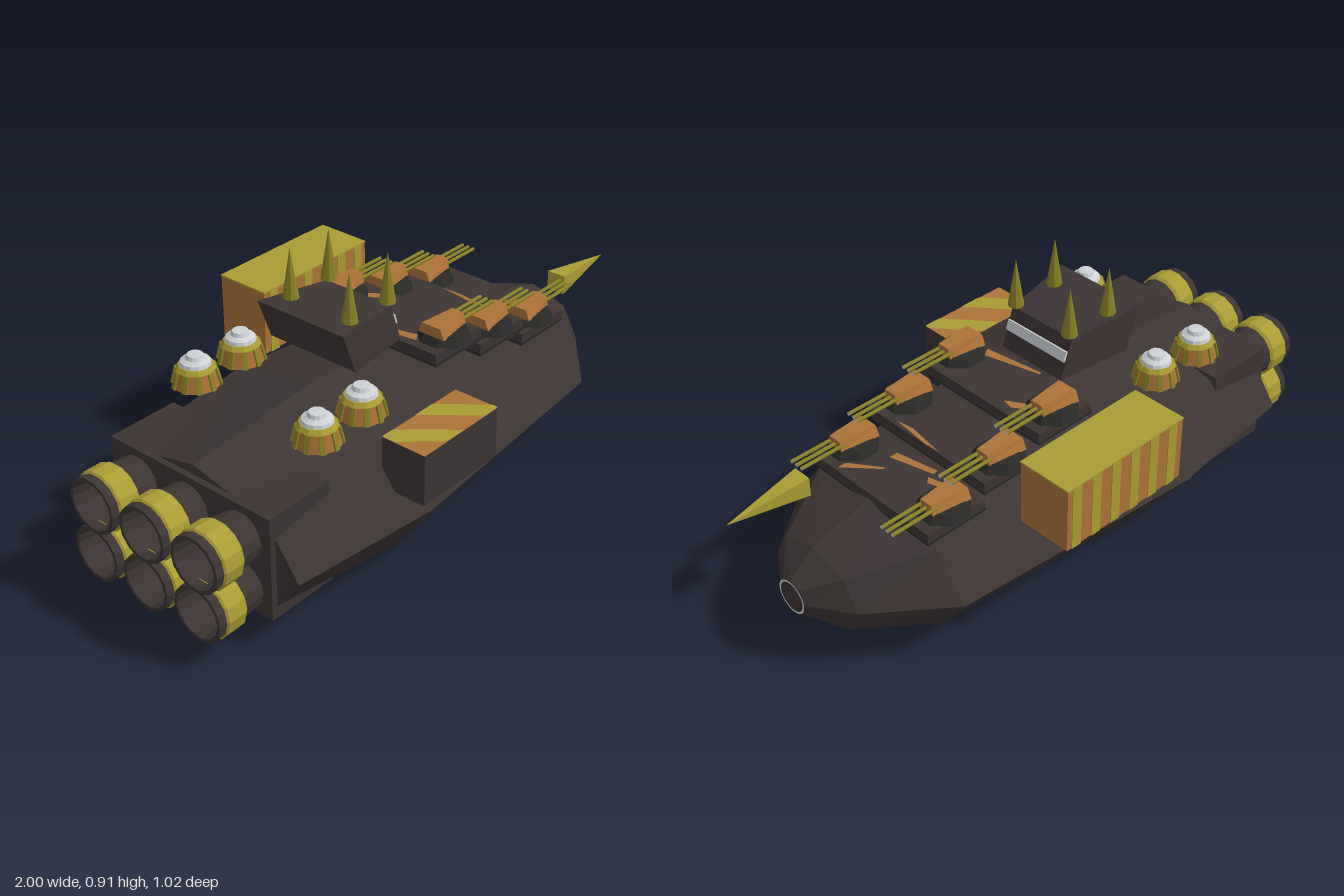
import * as THREE from 'three';

const mat = (name, color) => Object.assign(new THREE.MeshStandardMaterial({ color }), { name });
const CZ = 0.02; // the hull axis sits slightly off centre in z

// Faceted normals
function flat(g) {
  const f = g.index ? g.toNonIndexed() : g;
  f.computeVertexNormals();
  return f;
}

// Octagonal loft along x; each station is [x, centreY, halfY, halfZ]
function loft(stations, sides = 8) {
  const pos = [];
  const pt = ([x, cy, hy, hz], j) => {
    const a = (j / sides) * Math.PI * 2;
    return [x, cy + Math.cos(a) * hy, Math.sin(a) * hz];
  };
  const last = stations.length - 1;
  for (let j = 0; j < sides; j++) {
    for (let i = 0; i < last; i++) {
      const a = pt(stations[i], j), b = pt(stations[i], j + 1);
      const c = pt(stations[i + 1], j), d = pt(stations[i + 1], j + 1);
      pos.push(...a, ...b, ...c, ...b, ...d, ...c);
    }
    const s = stations[0], e = stations[last];
    pos.push(s[0], s[1], 0, ...pt(s, j + 1), ...pt(s, j));
    pos.push(e[0], e[1], 0, ...pt(e, j), ...pt(e, j + 1));
  }
  const g = new THREE.BufferGeometry();
  g.setAttribute('position', new THREE.Float32BufferAttribute(pos, 3));
  g.computeVertexNormals();
  return g;
}

// Unit box whose vertices are moved by a rule
function warpedBox(rule) {
  const g = new THREE.BoxGeometry(1, 1, 1);
  const p = g.attributes.position;
  for (let i = 0; i < p.count; i++) p.setXYZ(i, ...rule(p.getX(i), p.getY(i), p.getZ(i)));
  return flat(g);
}

export function createModel() {
  const hullM = mat('charcoal hull', 0x3d3534);
  const trimM = mat('dark trim', 0x2a2b28);
  const goldM = mat('yellow', 0xaa9c34);
  const oliveM = mat('olive brass', 0x8a8028);
  const orangeM = mat('orange', 0xac7238);
  const whiteM = mat('pale grey', 0xcdd1d4);
  const root = new THREE.Group();
  root.name = 'armedShip';

  const add = (name, g, m, x = 0, y = 0, z = 0, parent = root) => {
    const mesh = new THREE.Mesh(g, m);
    mesh.name = name;
    mesh.position.set(x, y, z);
    parent.add(mesh);
    return mesh;
  };
  // Box given by its limits
  const box = (name, m, x0, x1, y0, y1, z0, z1, parent = root) =>
    add(name, new THREE.BoxGeometry(x1 - x0, y1 - y0, z1 - z0), m,
      (x0 + x1) / 2, (y0 + y1) / 2, (z0 + z1) / 2, parent);
  // Flat painted patch facing up, corners as [x, z]
  const patch = (name, m, y, pts) => {
    const s = new THREE.Shape(pts.map(([x, z]) => new THREE.Vector2(x, -z)));
    add(name, new THREE.ShapeGeometry(s).rotateX(-Math.PI / 2), m, 0, y, 0);
  };

  // Hull
  add('hull', loft([
    [-0.8, 0.26, 0.22, 0.395], [-0.3, 0.26, 0.26, 0.45], [0.58, 0.26, 0.205, 0.375],
    [0.82, 0.26, 0.138, 0.185], [0.91, 0.265, 0.062, 0.055],
  ]), hullM, 0, 0, CZ);
  const ring = add('noseRing', new THREE.RingGeometry(0.05, 0.057, 24), whiteM, 0.912, 0.265, CZ);
  ring.rotation.y = Math.PI / 2;

  // Engine block and six nozzles
  box('engineBlock', hullM, -0.82, -0.575, 0.105, 0.447, CZ - 0.32, CZ + 0.31);
  const V = (r, y) => new THREE.Vector2(r, y);
  const nozzleG = flat(new THREE.LatheGeometry(
    [V(0.076, 0), V(0.084, 0.09), V(0.09, 0.1), V(0.09, 0.19), V(0.078, 0.19), V(0.066, 0.08)], 14));
  const bandG = flat(new THREE.LatheGeometry(
    [V(0.088, 0.085), V(0.096, 0.095), V(0.096, 0.158), V(0.088, 0.165)], 14));
  const coreG = new THREE.CircleGeometry(0.07, 14).rotateX(-Math.PI / 2);
  for (const y of [0.182, 0.348]) {
    for (const k of [-1, 0, 1]) {
      const engine = new THREE.Group();
      engine.name = 'engine';
      engine.position.set(-0.81, y, 0.015 + k * 0.205);
      engine.rotation.z = Math.PI / 2;
      root.add(engine);
      add('nozzle', nozzleG, hullM, 0, 0, 0, engine);
      add('nozzleBand', bandG, goldM, 0, 0, 0, engine);
      add('nozzleCore', coreG, whiteM, 0, 0.085, 0, engine);
    }
  }

  // Bridge tower: leans back, narrows toward the front
  add('bridgeTower', warpedBox((x, y, z) => {
    const front = x > 0, top = y > 0;
    return [front ? (top ? -0.1 : -0.055) : (top ? -0.357 : -0.305),
      top ? (front ? 0.735 : 0.755) : (front ? 0.605 : 0.617),
      CZ + z * 2 * (front ? 0.127 : 0.167)];
  }), hullM);
  const win = add('bridgeWindow', new THREE.BoxGeometry(0.009, 0.034, 0.25), whiteM, -0.077, 0.68, CZ);
  win.rotation.z = 0.33;

  // Antenna spikes
  const spikeG = flat(new THREE.ConeGeometry(0.026, 0.165, 8));
  for (const x of [-0.27, -0.102]) {
    for (const s of [-1, 1]) add('antennaSpike', spikeG, oliveM, x, 0.828, CZ + s * 0.115);
  }

  // Domed emplacements
  const domeBaseG = flat(new THREE.CylinderGeometry(0.06, 0.074, 0.055, 10));
  const domeRimG = flat(new THREE.CylinderGeometry(0.053, 0.063, 0.014, 10));
  const domeG = flat(new THREE.LatheGeometry(
    [V(0.05, 0), V(0.046, 0.014), V(0.03, 0.022), V(0.025, 0.034), V(0, 0.036)], 12));
  const ribG = new THREE.BoxGeometry(0.008, 0.055, 0.016);
  for (const x of [-0.54, -0.353]) {
    for (const z of [-0.23, 0.252]) {
      const e = new THREE.Group();
      e.name = 'domeEmplacement';
      e.position.set(x, 0.527, z);
      root.add(e);
      add('domeBase', domeBaseG, orangeM, 0, 0.0275, 0, e);
      add('domeRim', domeRimG, goldM, 0, 0.06, 0, e);
      add('dome', domeG, whiteM, 0, 0.064, 0, e);
      for (let i = 0; i < 10; i++) {
        const a = (i / 10) * Math.PI * 2;
        const rib = add('domeRib', ribG, oliveM, Math.sin(a) * 0.067, 0.027, Math.cos(a) * 0.067, e);
        rib.rotation.set(0, a - Math.PI / 2, 0.25, 'YXZ');
      }
    }
  }

  // Stepped gun decks, each with two triple-barrel turrets
  const turretBaseG = flat(new THREE.CylinderGeometry(0.068, 0.086, 0.03, 8).rotateY(Math.PI / 8));
  const bodyG = warpedBox((x, y, z) =>
    [x * 0.13, y * 0.034, z * (y > 0 ? 0.7 : 1) * (x > 0 ? 0.062 : 0.1)]);
  const barrelG = new THREE.CylinderGeometry(0.006, 0.006, 0.17, 8).rotateZ(-Math.PI / 2);
  const muzzleG = new THREE.CircleGeometry(0.0062, 8).rotateY(Math.PI / 2);
  [[0.06, 0.553], [0.28, 0.493], [0.5, 0.435]].forEach(([x, y]) => {
    box('gunDeck', hullM, x - 0.11, x + 0.11, y, y + 0.042, CZ - 0.26, CZ + 0.26);
    box('gunDeckEdge', trimM, x - 0.112, x + 0.112, y + 0.004, y + 0.012, CZ - 0.262, CZ + 0.262);
    for (const s of [-1, 1]) {
      const t = new THREE.Group();
      t.name = 'gunTurret';
      t.position.set(x, y + 0.042, CZ + s * 0.203);
      root.add(t);
      add('turretBase', turretBaseG, trimM, 0, 0.013, 0, t);
      add('turretBody', bodyG, orangeM, 0, 0.043, 0, t);
      for (const k of [-1, 0, 1]) {
        add('gunBarrel', barrelG, oliveM, 0.123, 0.041, k * 0.023, t);
        add('gunMuzzle', muzzleG, whiteM, 0.209, 0.041, k * 0.023, t);
      }
    }
  });

  // Painted orange streaks on the decks
  patch('deckStreak', orangeM, 0.597, [[-0.05, -0.03], [-0.04, -0.03], [0.01, 0.16], [-0.02, 0.18]]);
  patch('deckStreak', orangeM, 0.597, [[0.07, -0.15], [0.1, -0.15], [0.14, -0.09], [0.13, -0.05]]);
  patch('deckStreak', orangeM, 0.537, [[0.385, -0.04], [0.389, 0.02], [0.375, 0.16], [0.365, 0.1]]);
  patch('deckStreak', orangeM, 0.479, [[0.4, -0.05], [0.42, -0.05], [0.46, 0.1], [0.43, 0.1]]);
  patch('deckStreak', orangeM, 0.479, [[0.41, -0.16], [0.43, -0.16], [0.46, -0.07], [0.44, -0.05]]);
  patch('deckStreak', orangeM, 0.479, [[0.5, 0.07], [0.51, 0.07], [0.6, 0.17], [0.57, 0.17]]);

  // Large striped cargo container on the right side
  box('cargoContainer', orangeM, -0.15, 0.33, 0.416, 0.632, -0.513, -0.327);
  box('cargoLid', goldM, -0.151, 0.331, 0.631, 0.636, -0.515, -0.325);
  for (let i = 0; i < 6; i++) {
    const x = -0.125 + i * 0.08;
    box('cargoStripe', goldM, x, x + 0.036, 0.414, 0.632, -0.515, -0.325);
  }

  // Small side locker with a hazard-striped lid
  box('sideLocker', hullM, -0.385, -0.05, 0.34, 0.506, 0.355, 0.51);
  patch('lockerLid', orangeM, 0.508, [[-0.385, 0.355], [-0.05, 0.355], [-0.05, 0.51], [-0.385, 0.51]]);
  patch('lockerStripe', goldM, 0.51, [[-0.385, 0.355], [-0.34, 0.355], [-0.21, 0.51], [-0.29, 0.51], [-0.385, 0.4]]);
  patch('lockerStripe', goldM, 0.51, [[-0.24, 0.355], [-0.16, 0.355], [-0.05, 0.49], [-0.05, 0.51], [-0.11, 0.51]]);

  // Four-sided bow spike
  const bowG = flat(new THREE.ConeGeometry(0.046, 0.275, 4).rotateY(Math.PI / 4).rotateZ(-Math.PI / 2));
  add('bowSpike', bowG, goldM, 0.8625, 0.494, 0.174);

  return root;
}
